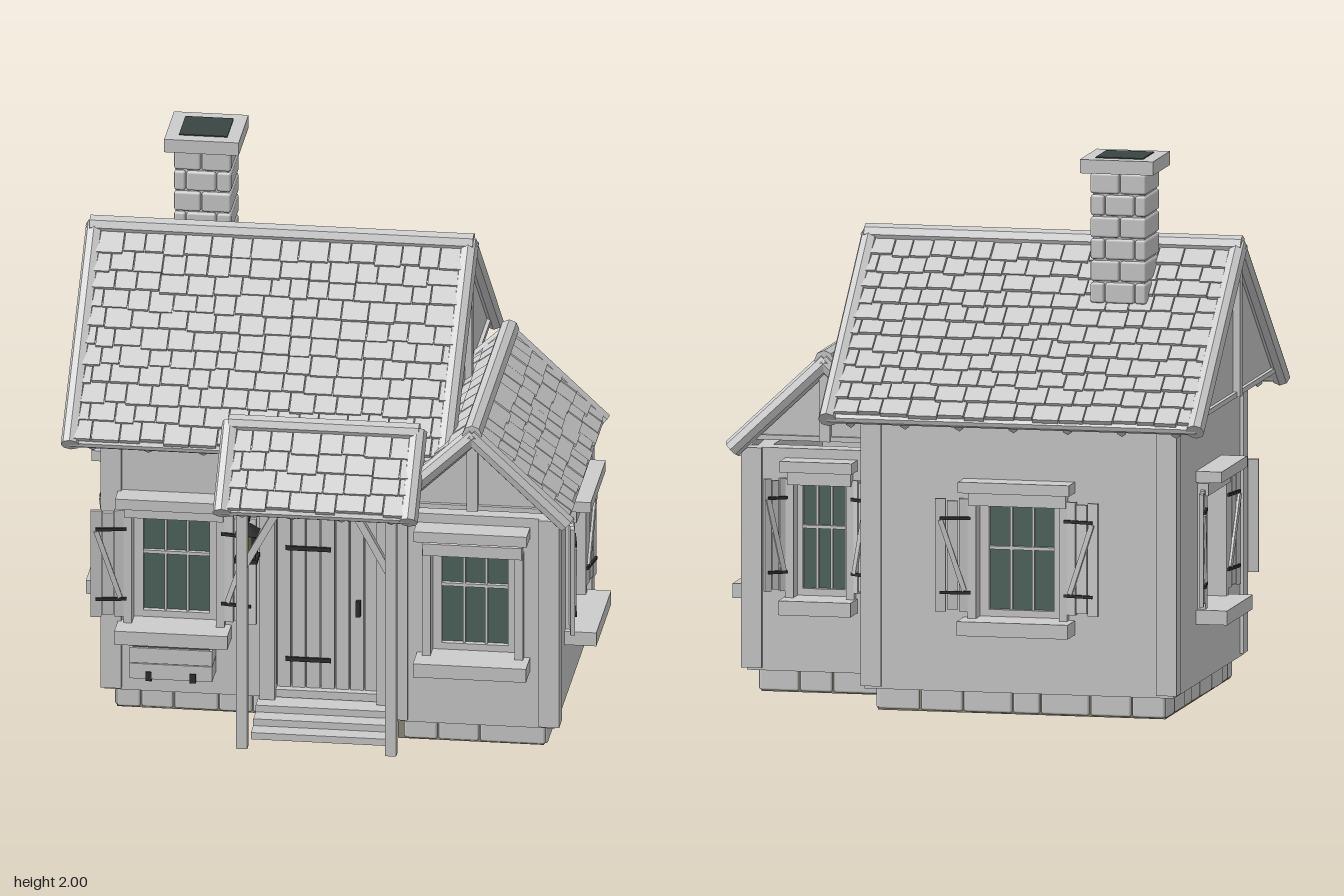
import * as THREE from 'three';
import { RoundedBoxGeometry } from 'three/addons/geometries/RoundedBoxGeometry.js';

const colour = (name, hex) => {
  const m = new THREE.MeshStandardMaterial({ color: hex });
  m.name = name;
  return m;
};
const clay = colour('pale grey', 0xcccccc);
const glass = colour('green grey glass', 0x50665f);
const iron = colour('dark iron', 0x2c2f2d);
const soot = colour('soot', 0x3a4442);
const earth = colour('olive earth', 0x8f8d78);
const leaf = colour('dark leaf', 0x4a5548);
const amber = colour('lantern amber', 0x6a6240);

let seed = 7;
const rand = () => (seed = (seed * 16807) % 2147483647) / 2147483647;

function add(parent, name, geo, x, y, z, mat = clay) {
  const m = new THREE.Mesh(geo, mat);
  m.name = name;
  m.position.set(x, y, z);
  parent.add(m);
  return m;
}
const box = (p, name, w, h, d, x, y, z, mat) => add(p, name, new THREE.BoxGeometry(w, h, d), x, y, z, mat);
const stone = (p, name, w, h, d, x, y, z) =>
  add(p, name, new RoundedBoxGeometry(w, h, d, 1, 0.009), x, y, z);
function group(parent, name, x = 0, y = 0, z = 0, ry = 0) {
  const g = new THREE.Group();
  g.name = name;
  g.position.set(x, y, z);
  g.rotation.y = ry;
  parent.add(g);
  return g;
}
// Eight-sided timber with flat facets
function timber(p, name, r, L, x, y, z) {
  const geo = new THREE.CylinderGeometry(r, r, L, 8).toNonIndexed();
  geo.computeVertexNormals();
  return add(p, name, geo, x, y, z);
}
// Flat outline extruded backwards from its outer face at z = 0
function panel(p, name, points, holes, depth) {
  const s = new THREE.Shape(points.map(([x, y]) => new THREE.Vector2(x, y)));
  for (const [x, y, w, h] of holes) {
    s.holes.push(new THREE.Path([[0, 0], [0, h], [w, h], [w, 0]].map(([a, b]) => new THREE.Vector2(x - w / 2 + a, y + b))));
  }
  const geo = new THREE.ExtrudeGeometry(s, { depth, bevelEnabled: false });
  geo.translate(0, 0, -depth);
  return add(p, name, geo, 0, 0, 0);
}

// One roof plane: ridge at the origin, running down along local +z
function slope(parent, name, L, span, drop, rows, ry = 0) {
  const turn = group(parent, name, 0, 0, 0, ry);
  const g = group(turn, name + 'Plane');
  g.rotation.x = Math.atan2(drop, span);
  const S = Math.hypot(span, drop);
  box(g, 'roofBoards', L - 0.04, 0.02, S, 0, -0.02, S / 2);
  const rowH = (S - 0.05) / rows;
  const x1 = L / 2 - 0.04;
  for (let r = 0; r < rows; r++) {
    let x = -x1;
    while (x < x1 - 0.01) {
      let w = 0.065 + rand() * 0.045;
      if (r % 2 && x === -x1) w *= 0.6;
      if (x + w > x1 - 0.03) w = x1 - x;
      const len = rowH * 1.25 + rand() * 0.014;
      const t = box(g, 'roofTile', w - 0.004, 0.016, len, x + w / 2, 0.003 + rand() * 0.004, 0.015 + r * rowH + len / 2);
      t.rotation.x = -0.12;
      x += w;
    }
  }
  for (const s of [-1, 1]) timber(g, 'bargeBoard', 0.034, S + 0.01, s * (L / 2 - 0.032), -0.008, S / 2).rotation.x = Math.PI / 2;
  timber(g, 'eaveBoard', 0.02, L - 0.06, 0, -0.015, S - 0.012).rotation.z = Math.PI / 2;
  const n = Math.max(3, Math.round(L / 0.21));
  for (let i = 0; i < n; i++) {
    const b = box(g, 'rafter', 0.024, 0.024, S - 0.01, ((i + 0.5) / n - 0.5) * (L - 0.02), -0.042, S / 2);
    b.rotation.z = Math.PI / 4;
  }
}
function ridgeCap(p, L, r) {
  timber(p, 'ridgeCap', r, L, 0, 0, 0).rotation.z = Math.PI / 2;
}
function gableRoof(parent, name, x, y, z, ry, L, span, drop, rows) {
  const g = group(parent, name, x, y, z, ry);
  slope(g, 'frontSlope', L, span, drop, rows);
  slope(g, 'backSlope', L, span, drop, rows, Math.PI);
  ridgeCap(g, L - 0.03, 0.036);
  // Gable infill, king post and tie at both ends
  for (const s of [-1, 1]) {
    const end = group(g, 'gableEnd', s * (L / 2 - 0.045), 0, 0, s * Math.PI / 2);
    const w = span - 0.05, k = drop / span;
    panel(end, 'gablePanel', [[-w, -w * k - 0.02], [w, -w * k - 0.02], [0, -0.02]], [], 0.03);
    box(end, 'kingPost', 0.04, w * k, 0.03, 0, -w * k / 2 - 0.02, 0.01);
    box(end, 'gableTie', 2 * w - 0.06, 0.018, 0.02, 0, -w * k - 0.011, 0.004);
  }
}

function shutter(p, side, x, y, w, tilt) {
  const g = group(p, 'shutter', side * x, y, 0.02, -side * tilt);
  for (let i = 0; i < 3; i++) box(g, 'shutterPlank', w / 3 - 0.004, 0.41 - (i % 2) * 0.015, 0.016, side * w * (i + 0.5) / 3, 0, 0);
  for (const v of [-0.135, 0.135]) box(g, 'shutterStrap', w * 0.85, 0.011, 0.012, side * w * 0.42, v, 0.011, iron);
  box(g, 'shutterBrace', 0.018, 0.27, 0.012, side * w / 2, 0, 0.011).rotation.z = -side * Math.atan2(w * 0.7, 0.27);
}
// Recessed window with sill, hood and optional shutters; k scales its width
function windowUnit(p, x, { k = 1, shutters = true, top = 0.79, tilt = 0.17 } = {}) {
  const g = group(p, 'window', x);
  const W = 0.32 * k, y0 = 0.36, h = top - y0, cy = y0 + h / 2;
  box(g, 'windowSill', 0.41 * k, 0.052, 0.19, 0, 0.335, 0.02);
  box(g, 'windowHood', 0.41 * k, 0.04, 0.15, 0, 0.845, 0.02);
  box(g, 'windowLintel', 0.36 * k, 0.045, 0.1, 0, top + 0.005, -0.01);
  box(g, 'windowGlass', W, h, 0.008, 0, cy, -0.066, glass);
  for (const s of [-1, 1]) {
    box(g, 'windowJamb', 0.03, h, 0.1, s * (W / 2 + 0.008), cy, -0.02);
    box(g, 'sashSide', 0.04 * k, h, 0.03, s * (W / 2 - 0.02 * k), cy, -0.055);
    box(g, 'sashRail', W, 0.028, 0.03, 0, cy + s * (h / 2 - 0.012), -0.055);
    box(g, 'windowBar', 0.009, h, 0.014, s * 0.04 * k, cy, -0.056);
  }
  box(g, 'windowBar', W, 0.012, 0.018, 0, 0.61, -0.055);
  if (shutters) for (const s of [-1, 1]) shutter(g, s, 0.175 * k + (1 - k) * 0.03, 0.59, 0.125 * k + 0.005, tilt);
}
function wall(parent, name, x, z, ry, w, h, opening, extraHoles = []) {
  const g = group(parent, name, x, 0, z, ry);
  const holes = [...extraHoles];
  if (opening) {
    const k = opening.k || 1, top = opening.top || 0.79;
    holes.push([opening.x || 0, 0.36, 0.32 * k, top - 0.36]);
    windowUnit(g, opening.x || 0, opening);
  }
  panel(g, name + 'Face', [[-w / 2, 0.09], [w / 2, 0.09], [w / 2, h], [-w / 2, h]], holes, 0.08);
  // Footing stones just inside the wall line
  const L = w - 0.075;
  for (let s = -L / 2; s < L / 2 - 0.01;) {
    let d = 0.09 + rand() * 0.1;
    if (s + d > L / 2 - 0.06) d = L / 2 - s;
    stone(g, 'footingStone', d - 0.004, 0.082, 0.06, s + d / 2, 0.053, -0.066 + rand() * 0.008);
    s += d;
  }
  return g;
}

export function createModel() {
  const house = new THREE.Group();
  house.name = 'cottage';
  const Q = Math.PI / 2;

  // Main block
  const front = wall(house, 'mainFrontWall', -0.25, 0.44, 0, 1.14, 1.07, { x: -0.315 }, [[0.235, 0.12, 0.375, 0.72]]);
  wall(house, 'mainBackWall', -0.25, -0.68, 2 * Q, 1.14, 1.07, {});
  wall(house, 'mainOuterWall', -0.82, -0.12, -Q, 1.12, 1.07, {});
  wall(house, 'mainInnerWall', 0.32, -0.12, Q, 1.12, 1.07);
  // Side wing
  wall(house, 'wingFrontWall', 0.54, 0.61, 0, 0.59, 0.9, { shutters: false, top: 0.77 });
  wall(house, 'wingOuterWall', 0.835, 0.14, Q, 0.94, 0.9, {});
  wall(house, 'wingBackWall', 0.54, -0.33, 2 * Q, 0.59, 0.9, { x: -0.02, k: 0.65, tilt: 0.55 });
  wall(house, 'wingInnerWall', 0.245, 0.14, -Q, 0.94, 0.9);

  for (const [x, z, h] of [[-0.795, 0.42, 1.07], [-0.795, -0.655, 1.07], [0.295, -0.655, 1.07],
    [0.815, 0.59, 0.9], [0.265, 0.59, 0.9], [0.815, -0.31, 0.9]]) {
    box(house, 'cornerPost', 0.075, h - 0.1, 0.075, x, 0.1 + (h - 0.1) / 2, z);
  }
  box(house, 'mainBase', 1.06, 0.08, 1.04, -0.25, 0.048, -0.12, earth);
  box(house, 'wingBase', 0.53, 0.08, 0.86, 0.525, 0.0485, 0.14, earth);

  // Roofs
  gableRoof(house, 'mainRoof', -0.25, 1.66, -0.12, 0, 1.42, 0.69, 0.57, 11);
  gableRoof(house, 'wingRoof', 0.54, 1.23, 0.14, Q, 1.06, 0.345, 0.325, 6);
  const porchRoof = group(house, 'porchRoof', -0.01, 1.185, 0.54);
  slope(porchRoof, 'porchSlope', 0.74, 0.255, 0.24, 4);
  ridgeCap(porchRoof, 0.69, 0.034);

  // Chimney in staggered courses
  const chimney = group(house, 'chimney', -0.545, 0, -0.27);
  box(chimney, 'chimneyCore', 0.19, 0.62, 0.19, 0, 1.65, 0);
  for (let i = 0; i < 8; i++) {
    const cuts = i % 2 ? [-0.105, -0.005, 0.105] : [-0.105, -0.06, 0.05, 0.105];
    for (let j = 0; j + 1 < cuts.length; j++) {
      stone(chimney, 'chimneyBrick', cuts[j + 1] - cuts[j] - 0.003, 0.074, 0.212 + rand() * 0.008, (cuts[j] + cuts[j + 1]) / 2, 1.35 + i * 0.0795, 0);
    }
  }
  box(chimney, 'chimneyCap', 0.27, 0.05, 0.27, 0, 1.971, 0);
  box(chimney, 'flue', 0.175, 0.006, 0.175, 0, 1.997, 0, soot);

  // Plank door with frame, hinges and handle
  const door = group(front, 'door', 0.235);
  for (let i = 0; i < 7; i++) box(door, 'doorPlank', 0.048, 0.72, 0.03, (i - 3) * 0.053, 0.48, -0.045);
  box(door, 'doorBacking', 0.375, 0.72, 0.015, 0, 0.48, -0.07);
  for (const s of [-1, 1]) box(door, 'doorJamb', 0.055, 0.76, 0.05, s * 0.212, 0.47, 0.005);
  box(door, 'doorHead', 0.48, 0.05, 0.06, 0, 0.865, 0.005);
  for (const y of [0.23, 0.66]) box(door, 'doorHinge', 0.165, 0.016, 0.01, -0.07, y, -0.027, iron);
  box(door, 'doorHandle', 0.016, 0.06, 0.02, 0.112, 0.44, -0.02, iron);

  // Porch: steps, posts, braces and beams
  for (let i = 0; i < 3; i++) box(house, 'porchStep', 0.5, 0.026, 0.22 - i * 0.065, -0.012, 0.02 + i * 0.027, 0.43 + (0.22 - i * 0.065) / 2);
  for (const s of [-1, 1]) {
    const x = -0.015 + s * 0.27;
    box(house, 'porchPost', 0.04, 0.94, 0.04, x, 0.47, 0.71);
    box(house, 'porchBrace', 0.026, 0.23, 0.028, x - s * 0.065, 0.81, 0.71).rotation.z = s * 0.5;
    box(house, 'porchSideBeam', 0.035, 0.035, 0.3, x, 0.93, 0.58);
  }
  box(house, 'porchBeam', 0.66, 0.04, 0.04, -0.015, 0.94, 0.71);

  // Wall lantern beside the door
  const lantern = group(house, 'lantern', -0.293, 0, 0.52);
  box(lantern, 'lanternArm', 0.012, 0.012, 0.09, 0, 0.795, -0.035, iron);
  add(lantern, 'lanternRoof', new THREE.CylinderGeometry(0.012, 0.06, 0.035, 4, 1, false, Math.PI / 4), 0, 0.772, 0, iron);
  box(lantern, 'lanternGlass', 0.054, 0.09, 0.054, 0, 0.71, 0, amber);
  box(lantern, 'lanternBase', 0.084, 0.016, 0.084, 0, 0.657, 0, iron);
  for (const s of [-1, 1]) for (const t of [-1, 1]) box(lantern, 'lanternBar', 0.014, 0.1, 0.014, s * 0.028, 0.71, t * 0.028, iron);

  // Flower box below the front window
  const planter = group(front, 'flowerBox', -0.315);
  for (const y of [0.211, 0.272]) box(planter, 'flowerBoxBoard', 0.3, 0.058, 0.11, 0, y, 0.06);
  box(planter, 'flowerBoxSoil', 0.28, 0.008, 0.09, 0, 0.303, 0.06, leaf);
  for (let i = 0; i < 9; i++) add(planter, 'sprout', new THREE.ConeGeometry(0.013, 0.03, 5), -0.12 + i * 0.03, 0.31, 0.06 + (rand() - 0.5) * 0.07, leaf);
  for (const s of [-1, 1]) box(planter, 'flowerBoxBracket', 0.022, 0.035, 0.1, s * 0.08, 0.193, 0.07, iron);

  return house;
}
